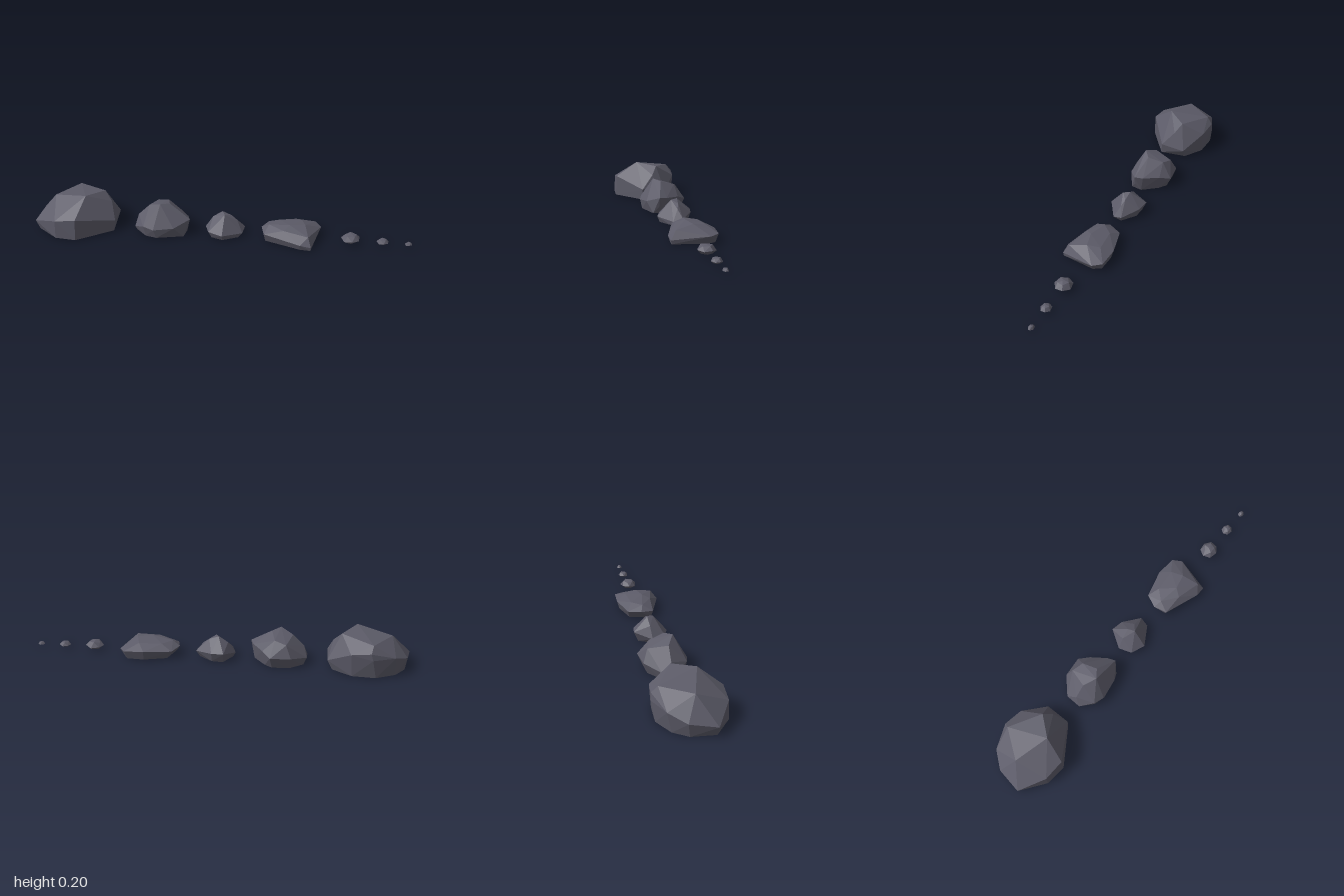
import * as THREE from 'three';
import { ConvexGeometry } from 'three/addons/geometries/ConvexGeometry.js';

// A faceted stone: the hull of a few corner points [x, y, z]
function stone(name, corners, material) {
  const points = corners.map(([x, y, z]) => new THREE.Vector3(x, y, z));
  const mesh = new THREE.Mesh(new ConvexGeometry(points), material);
  mesh.name = name;
  return mesh;
}

// Corners of a small pebble: foot, belly and crown rings
function pebbleCorners(x, rx, rz, height, lift) {
  const rings = [[0.6, lift, 5, 0.2], [1, 0.45, 7, 0.5], [0.62, 0.88, 5, 0.9], [0.15, 1, 3, 0.3]];
  const corners = [];
  for (const [scale, level, count, turn] of rings) {
    for (let i = 0; i < count; i++) {
      const a = turn + (i / count) * Math.PI * 2;
      const y = height * (level + (level > 0.4 && level < 0.9 ? 0.08 * Math.sin(i * 2.3) : 0));
      corners.push([x + Math.cos(a) * rx * scale, y, Math.sin(a) * rz * scale]);
    }
  }
  return corners;
}

export function createModel() {
  const group = new THREE.Group();
  group.name = 'rockRow';
  const slate = new THREE.MeshStandardMaterial({ color: 0x5c5b68 });
  slate.name = 'slateGrey';

  // Each stone lists its foot, then its belly, then its crown
  const stones = {
    largeBoulder: [
      [-0.98, 0, 0.08], [-0.87, 0, 0.165], [-0.76, 0, 0.175], [-0.58, 0, 0.05], [-0.6, 0, -0.09],
      [-0.7, 0, -0.155], [-0.82, 0, -0.162], [-0.92, 0, -0.11], [-0.97, 0, -0.04],
      [-1, 0.05, 0.083], [-0.98, 0.07, -0.05], [-0.915, 0.1, -0.13], [-0.8, 0.1, -0.177], [-0.79, 0.135, -0.175],
      [-0.69, 0.12, -0.163], [-0.573, 0.05, -0.088], [-0.572, 0.06, 0.045], [-0.755, 0.115, 0.169], [-0.867, 0.1, 0.163],
      [-0.9, 0.17, 0], [-0.72, 0.203, 0.053], [-0.8, 0.17, -0.145], [-0.64, 0.187, -0.05], [-0.6, 0.14, -0.02],
    ],
    mediumBoulder: [
      [-0.46, 0, 0.02], [-0.4, 0, 0.08], [-0.34, 0, 0.095], [-0.2, 0, 0.06], [-0.19, 0, 0],
      [-0.25, 0, -0.08], [-0.29, 0, -0.11], [-0.38, 0, -0.105], [-0.45, 0, -0.05],
      [-0.467, 0.025, 0.03], [-0.467, 0.04, -0.05], [-0.41, 0.06, 0.088], [-0.355, 0.05, 0.104], [-0.248, 0.06, 0.088],
      [-0.168, 0.09, 0.03], [-0.18, 0.04, 0.03], [-0.184, 0.085, -0.013], [-0.237, 0.08, -0.088],
      [-0.28, 0.06, -0.136], [-0.387, 0.06, -0.125], [-0.45, 0.085, 0],
      [-0.39, 0.145, 0], [-0.325, 0.172, 0.035], [-0.28, 0.162, 0], [-0.3, 0.14, -0.08], [-0.36, 0.125, -0.1],
    ],
    pointedRock: [
      [-0.075, 0, 0], [-0.05, 0, 0.05], [0.01, 0, 0.07], [0.09, 0, 0.03], [0.1, 0, -0.02], [0.03, 0, -0.075], [-0.03, 0, -0.08],
      [-0.09, 0.03, -0.013], [-0.067, 0.035, 0.056], [0.008, 0.03, 0.083], [0.11, 0.02, 0.02], [0.12, 0.035, -0.03],
      [0.03, 0.05, -0.093], [-0.035, 0.055, -0.104],
      [-0.05, 0.09, -0.02], [0, 0.122, -0.025], [0.015, 0.118, 0.01], [0.05, 0.103, -0.02], [0.08, 0.08, -0.01],
    ],
    flatRock: [
      [0.235, 0, 0.045], [0.42, 0, 0.11], [0.475, 0, 0.115], [0.5, 0, -0.06], [0.48, 0, -0.1], [0.39, 0, -0.105], [0.27, 0, -0.07],
      [0.21, 0.05, -0.013], [0.227, 0.045, 0.056], [0.243, 0.045, -0.083], [0.387, 0.05, -0.12], [0.493, 0.045, -0.113],
      [0.523, 0.04, -0.067], [0.477, 0.02, 0.118], [0.42, 0.03, 0.12], [0.46, 0.065, 0.09],
      [0.25, 0.075, 0], [0.36, 0.09, 0.02], [0.44, 0.086, 0], [0.42, 0.077, -0.065], [0.3, 0.075, -0.055], [0.33, 0.076, 0.06],
    ],
    largePebble: pebbleCorners(0.68, 0.05, 0.046, 0.05, 0.12),
    mediumPebble: pebbleCorners(0.847, 0.032, 0.028, 0.034, 0.2),
    smallPebble: pebbleCorners(0.981, 0.02, 0.015, 0.024, 0.35),
  };

  for (const [name, corners] of Object.entries(stones)) group.add(stone(name, corners, slate));
  return group;
}
